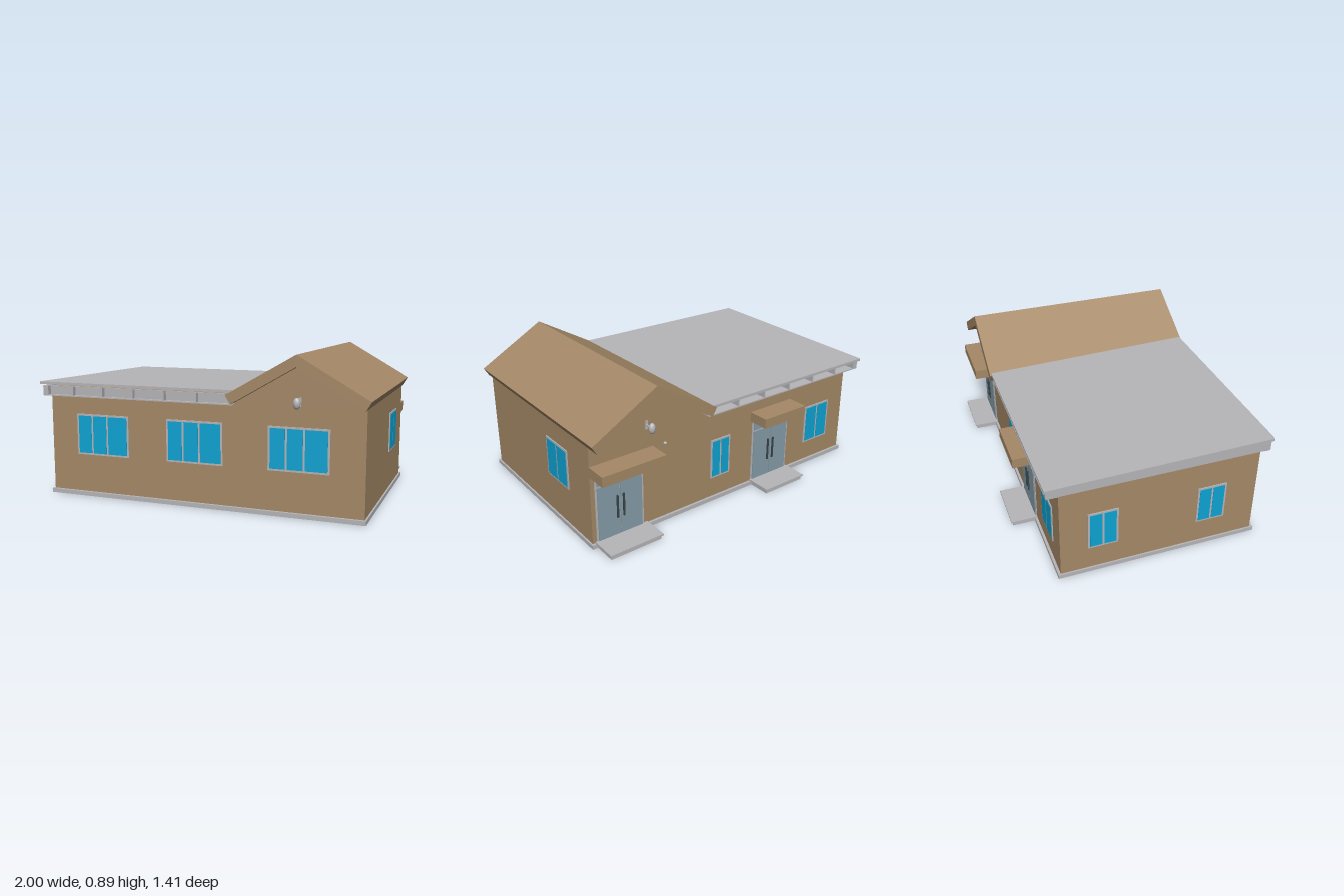
import * as THREE from 'three';

const mat = (name, color) => {
  const m = new THREE.MeshStandardMaterial({ color });
  m.name = name;
  return m;
};

export function createModel() {
  const model = new THREE.Group();
  model.name = 'house';
  const brown = mat('brown', 0xa58967);
  const grey = mat('light grey', 0xb6b5b8);
  const blue = mat('window blue', 0x0ea4d4);
  const slate = mat('door slate', 0x869ca7);
  const dark = mat('handle dark', 0x39444a);

  const add = (name, geo, m, parent = model) => {
    const mesh = new THREE.Mesh(geo, m);
    mesh.name = name;
    parent.add(mesh);
    return mesh;
  };
  // box given by its minimum and maximum on each axis
  const box = (name, m, x0, x1, y0, y1, z0, z1, parent = model) => {
    const mesh = add(name, new THREE.BoxGeometry(x1 - x0, y1 - y0, z1 - z0), m, parent);
    mesh.position.set((x0 + x1) / 2, (y0 + y1) / 2, (z0 + z1) / 2);
    return mesh;
  };
  // x-y outline pushed from z0 to z1
  const prism = (name, m, pts, z0, z1) => {
    const shape = new THREE.Shape(pts.map(([x, y]) => new THREE.Vector2(x, y)));
    const geo = new THREE.ExtrudeGeometry(shape, { depth: z1 - z0, bevelEnabled: false });
    return add(name, geo.translate(0, 0, z0), m);
  };

  // foundation and walls
  box('foundation', grey, -0.96, 0.98, 0, 0.025, -0.56, 0.64);
  prism('walls', brown, [[-0.95, 0.025], [0.97, 0.025], [0.97, 0.615], [0.6, 0.83],
    [0.25, 0.627], [0.25, 0.655], [-0.95, 0.655]], -0.545, 0.622);

  // gable roof
  prism('gableRoof', brown, [[0.6, 0.89], [0.2, 0.66], [0.23, 0.61], [0.6, 0.825],
    [0.97, 0.61], [1, 0.66]], -0.64, 0.675);

  // flat roof plate, rising slightly towards the front
  const plate = new THREE.BoxGeometry(1.25, 0.016, 1.3).translate(-0.375, 0.662, 0.02);
  const pos = plate.attributes.position;
  for (let i = 0; i < pos.count; i++) {
    if (pos.getZ(i) > 0) pos.setY(i, pos.getY(i) + 0.018);
  }
  plate.computeVertexNormals();
  add('flatRoof', plate, grey);

  // open eaves with soffit, backing board and ribs
  for (const [wall, outer] of [[0.622, 0.66], [-0.545, -0.62]]) {
    const z0 = Math.min(wall, outer), z1 = Math.max(wall, outer);
    const s = Math.sign(outer);
    box('soffit', grey, -0.985, 0.24, 0.603, 0.61, z0, z1);
    box('eaveBoard', grey, -0.985, 0.24, 0.605, 0.663, Math.min(wall, wall + s * 0.012), Math.max(wall, wall + s * 0.012));
    for (let i = 0; i < 7; i++) {
      const x = -0.98 + i * 0.2;
      box('eaveRib', grey, x - 0.004, x + 0.004, 0.605, 0.663, z0, z1);
    }
  }
  box('sideFascia', grey, -0.985, -0.95, 0.605, 0.663, -0.62, 0.66);

  // window facing +z with panes between the listed fractions
  const addWindow = (w, h, splits, x, y, z, turn) => {
    const g = new THREE.Group();
    g.name = 'window';
    box('windowFrame', grey, -w / 2, w / 2, -h / 2, h / 2, 0, 0.006, g);
    const e = [0, ...splits, 1];
    for (let i = 0; i + 1 < e.length; i++) {
      const a = -w / 2 + w * e[i] + (i === 0 ? 0.012 : 0.006);
      const b = -w / 2 + w * e[i + 1] - (i + 2 === e.length ? 0.012 : 0.006);
      box('windowPane', blue, a, b, -h / 2 + 0.011, h / 2 - 0.011, 0.004, 0.008, g);
    }
    g.position.set(x, y, z);
    g.rotation.y = turn;
    model.add(g);
  };
  for (const x of [-0.6, -0.007, 0.605]) addWindow(0.347, 0.247, [0.3, 0.59], x, 0.375, 0.622, 0);
  addWindow(0.235, 0.24, [0.5], 0.97, 0.375, -0.2, Math.PI / 2);
  for (const z of [-0.3, 0.345]) addWindow(0.175, 0.24, [0.5], -0.95, 0.29, z, -Math.PI / 2);
  addWindow(0.145, 0.25, [0.5], 0.09, 0.275, -0.545, Math.PI);
  addWindow(0.21, 0.25, [0.5], -0.715, 0.275, -0.545, Math.PI);

  // back entrances: double door, transom, canopy and step
  const entrances = [
    { d: [0.64, 0.945], c: [0.57, 0.97], s: [0.615, 0.955] },
    { d: [-0.455, -0.16], c: [-0.47, -0.145], s: [-0.465, -0.155] },
  ];
  for (const { d: [a, b], c, s } of entrances) {
    const mid = (a + b) / 2, z = -0.545;
    box('doorFrame', grey, a, b, 0.025, 0.44, z - 0.004, z);
    box('doorLeaf', slate, a + 0.012, mid - 0.002, 0.03, 0.36, z - 0.009, z);
    box('doorLeaf', slate, mid + 0.002, b - 0.012, 0.03, 0.36, z - 0.009, z);
    box('transom', slate, a + 0.012, b - 0.012, 0.37, 0.44, z - 0.009, z);
    for (const k of [-1, 1]) {
      const x = mid + k * 0.02;
      box('doorHandle', dark, x - 0.005, x + 0.005, 0.14, 0.28, z - 0.017, z - 0.008);
    }
    box('canopy', brown, c[0], c[1], 0.437, 0.497, -0.675, z);
    box('stepBase', grey, s[0] + 0.008, s[1] - 0.008, 0, 0.023, -0.695, -0.55);
    box('stepTread', grey, s[0], s[1], 0.023, 0.033, -0.705, -0.546);
  }

  // oval lamps on short arms in both gables
  for (const [wall, lampZ] of [[0.622, 0.687], [-0.545, -0.6]]) {
    const lamp = add('gableLamp', new THREE.SphereGeometry(1, 20, 14), grey);
    lamp.scale.set(0.02, 0.031, 0.018);
    lamp.position.set(0.61, 0.635, lampZ);
    box('lampArm', grey, 0.606, 0.614, 0.631, 0.639, Math.min(wall, lampZ), Math.max(wall, lampZ));
    box('lampMount', grey, 0.602, 0.618, 0.61, 0.66, wall - 0.004, wall + 0.004);
  }
  const knob = add('wallKnob', new THREE.SphereGeometry(0.01, 14, 10), grey);
  knob.position.set(0.49, 0.49, -0.55);

  return model;
}
